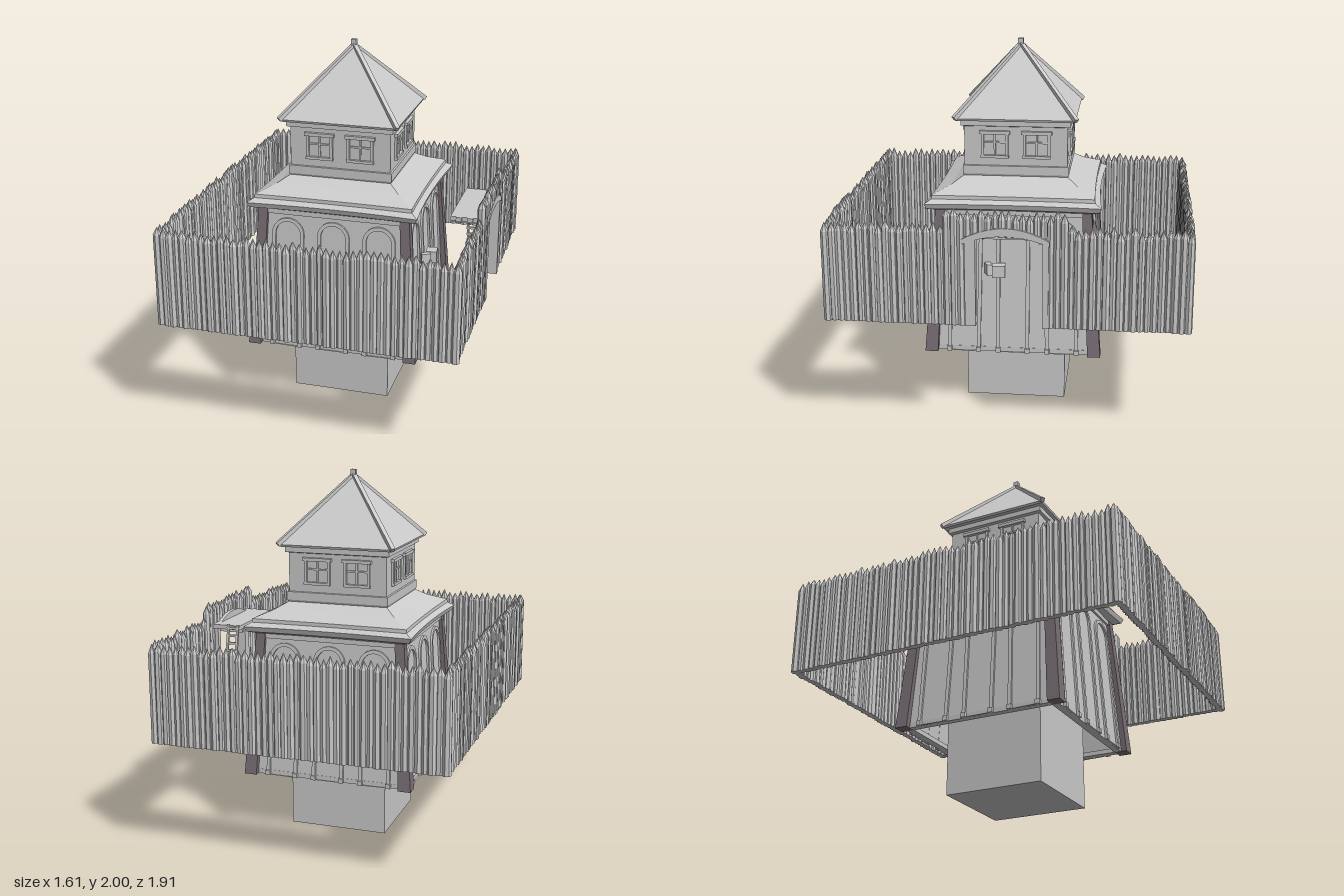
import * as THREE from 'three';

const grey = new THREE.MeshStandardMaterial({ color: 0xcccccc, flatShading: true });
const thin = new THREE.MeshStandardMaterial({ color: 0xcccccc, flatShading: true, side: THREE.DoubleSide });
const dark = new THREE.MeshStandardMaterial({ color: 0x7a7077, flatShading: true });

let seed = 7;
const rand = () => (seed = (seed * 16807) % 2147483647) / 2147483647;

function add(parent, name, geo, mat = grey, x = 0, y = 0, z = 0) {
  const m = new THREE.Mesh(geo, mat);
  m.name = name;
  m.position.set(x, y, z);
  parent.add(m);
  return m;
}
const box = (parent, name, w, h, d, x, y, z) =>
  add(parent, name, new THREE.BoxGeometry(w, h, d), grey, x, y, z);

function group(parent, name) {
  const g = new THREE.Group();
  g.name = name;
  parent.add(g);
  return g;
}

// Square-section beam between two points
function beam(parent, name, a, b, w, h) {
  const p = new THREE.Vector3(...a), q = new THREE.Vector3(...b);
  const m = box(parent, name, w, h, p.distanceTo(q), 0, 0, 0);
  m.position.copy(p).lerp(q, 0.5);
  m.lookAt(q);
}

// Stack of square rings [half, y, sag]; sag pulls the middle of each side inwards
function squareLoft(rings, seg = 1) {
  const pos = [], idx = [], n = 4 * seg;
  for (const [r, y, sag = 0] of rings) {
    for (let i = 0; i < n; i++) {
      const t = ((i % seg) / seg) * 2 - 1;
      const a = Math.floor(i / seg) * Math.PI / 2;
      const u = t * r, v = r - sag * (1 - t * t);
      pos.push(u * Math.cos(a) + v * Math.sin(a), y, v * Math.cos(a) - u * Math.sin(a));
    }
  }
  for (let j = 0; j < rings.length - 1; j++) {
    for (let i = 0; i < n; i++) {
      const a = j * n + i, b = j * n + (i + 1) % n;
      idx.push(a, b, b + n, a, b + n, a + n);
    }
  }
  const g = new THREE.BufferGeometry();
  g.setAttribute('position', new THREE.Float32BufferAttribute(pos, 3));
  g.setIndex(idx);
  const flat = g.toNonIndexed();
  flat.computeVertexNormals();
  return flat;
}

// Four copies of one side, turned round the tower
function fourSides(parent, name, build) {
  for (let k = 0; k < 4; k++) {
    const g = group(parent, name);
    g.rotation.y = k * Math.PI / 2;
    build(g);
  }
}

// Tall blind arch frame
function archFrame(w, h, t, depth) {
  const outline = (s, r, top) => {
    s.moveTo(-r, 0);
    s.lineTo(r, 0);
    s.lineTo(r, top);
    s.absarc(0, top, r, 0, Math.PI, false);
    s.lineTo(-r, 0);
    return s;
  };
  const s = outline(new THREE.Shape(), w / 2, h - w / 2);
  s.holes.push(outline(new THREE.Path(), w / 2 - t, h - w / 2));
  return new THREE.ExtrudeGeometry(s, { depth, bevelEnabled: false, curveSegments: 8 });
}

// Pointed palisade stake
function stake(parent, x, z, bottom, top) {
  const r = 0.019 + rand() * 0.005, tip = 0.035 + rand() * 0.015;
  const h = top - rand() * 0.025 - bottom;
  const profile = [[0, 0], [r, 0], [r * 0.95, h - tip], [0.001, h]].map(p => new THREE.Vector2(...p));
  const m = add(parent, 'stake', new THREE.LatheGeometry(profile, 7), thin, x, bottom, z);
  m.rotation.y = rand() * 6;
}

function buildFence(root) {
  const fence = group(root, 'palisade');
  const X = 0.783, Z = 0.93, nx = 45, nz = 53;
  const wobble = () => (rand() - 0.5) * 0.008;
  for (let i = 0; i < nx; i++) {
    const x = -X + (2 * X * i) / nx;
    stake(fence, x, Z + wobble(), 0.63, 1.18);
    stake(fence, -x, -Z + wobble(), 0.63, 1.18);
  }
  for (let i = 0; i < nz; i++) {
    const z = -Z + (2 * Z * i) / nz;
    stake(fence, -X + wobble(), z, 0.63, 1.18);
    // Stakes rise around the gate and stop above its arch
    const d = Math.abs(z);
    const bottom = d < 0.21 ? 1.11 : 0.63;
    stake(fence, X - 0.005 + wobble(), -z, bottom, d < 0.31 ? 1.255 : 1.18);
  }
}

function buildGate(root) {
  const gate = group(root, 'gate');
  box(gate, 'gatePost', 0.06, 0.47, 0.055, 0.772, 0.865, 0.18);
  box(gate, 'gatePost', 0.06, 0.47, 0.03, 0.772, 0.865, -0.205);
  // Shallow curved lintel
  const s = new THREE.Shape();
  s.moveTo(-0.225, 1.07);
  s.quadraticCurveTo(0, 1.165, 0.225, 1.07);
  s.lineTo(0.225, 1.095);
  s.quadraticCurveTo(0, 1.225, -0.225, 1.095);
  const g = new THREE.ExtrudeGeometry(s, { depth: 0.062, bevelEnabled: false, curveSegments: 10 });
  add(gate, 'gateArch', g, grey, 0.742).rotation.y = Math.PI / 2;

  // Plank walkway behind the arch, its front ends uneven
  const walk = group(root, 'walkway');
  for (let i = 0; i < 6; i++) {
    const len = 0.465 + (i % 2) * 0.01;
    box(walk, 'walkwayPlank', 0.031, 0.024, len, 0.6155 + i * 0.031, 1.11, len / 2 - 0.24);
  }
  for (const z of [-0.18, 0.17]) box(walk, 'walkwayBearer', 0.17, 0.025, 0.025, 0.69, 1.086, z);

  // Leaning ladder
  const ladder = group(root, 'ladder');
  for (const x of [0.608, 0.664]) beam(ladder, 'ladderRail', [x, 0.63, -0.335], [x, 1.13, -0.245], 0.012, 0.015);
  for (let i = 0; i < 12; i++) {
    const t = (i + 0.5) / 12;
    box(ladder, 'ladderRung', 0.072, 0.012, 0.014, 0.636, 0.63 + 0.5 * t, -0.335 + 0.09 * t);
  }
}

function buildLowerStorey(root) {
  const low = group(root, 'lowerStorey');
  add(low, 'lowerWalls', squareLoft([[0.447, 0.34], [0.4, 1.15]]), thin);
  const lean = Math.atan(0.047 / 0.81);
  fourSides(low, 'lowerSide', g => {
    for (const x of [-0.268, 0, 0.268]) {
      const arch = add(g, 'blindArch', archFrame(0.18, 0.75, 0.02, 0.012), grey, x, 0.34, 0.446);
      arch.rotation.x = -lean;
      // Outer arches follow the slant of the corners
      arch.rotation.z = Math.sign(x) * 0.02;
      for (const s of [-1, 1]) box(g, 'archFoot', 0.026, 0.025, 0.025, x + s * 0.08, 0.353, 0.452);
    }
    box(g, 'bottomRail', 0.84, 0.025, 0.04, 0, 0.353, 0.427);
    box(g, 'topRail', 0.8, 0.03, 0.025, 0, 1.125, 0.403);
  });
  // Leaning corner posts
  for (const sx of [-1, 1]) for (const sz of [-1, 1]) {
    const post = new THREE.BoxGeometry(1, 1, 1);
    const p = post.attributes.position;
    for (let i = 0; i < p.count; i++) {
      const up = p.getY(i) > 0;
      const c = up ? 0.393 : 0.445, w = up ? 0.052 : 0.07;
      p.setXYZ(i, sx * c + p.getX(i) * w, up ? 1.14 : 0.34, sz * c + p.getZ(i) * w);
    }
    post.computeVertexNormals();
    add(low, 'cornerPost', post, dark);
  }
  add(low, 'skirtRoof', squareLoft([[0.39, 1.125], [0.46, 1.15, 0.018], [0.472, 1.178, 0.02],
    [0.437, 1.198, 0.01], [0.435, 1.218, 0.008], [0.34, 1.258], [0.265, 1.305]], 6), thin);
  // Wall box and its bracket facing the gate
  box(low, 'wallBox', 0.06, 0.065, 0.07, 0.472, 0.82, 0.072).rotation.y = 0.1;
  box(low, 'wallBracket', 0.05, 0.06, 0.03, 0.45, 0.82, 0.13).rotation.y = 0.4;
}

function buildUpperStorey(root) {
  const up = group(root, 'upperStorey');
  add(up, 'upperWalls', squareLoft([[0.283, 1.295], [0.287, 1.305], [0.287, 1.35], [0.278, 1.352],
    [0.278, 1.565], [0.295, 1.57], [0.295, 1.6], [0.26, 1.605]]), thin);
  fourSides(up, 'upperSide', g => {
    for (const x of [-0.113, 0.113]) {
      const w = group(g, 'window');
      w.position.set(x, 1.468, 0.281);
      for (const s of [-1, 1]) box(w, 'windowJamb', 0.015, 0.13, 0.018, s * 0.066, 0, 0);
      box(w, 'windowLintel', 0.165, 0.018, 0.032, 0, 0.066, 0);
      box(w, 'windowSill', 0.15, 0.015, 0.028, 0, -0.066, 0);
      box(w, 'windowMullion', 0.01, 0.13, 0.01, 0, 0, 0);
      box(w, 'windowBar', 0.13, 0.009, 0.01, 0, 0.012, 0);
    }
  });
  // Pyramid roof with hip beams and finial
  add(up, 'towerRoof', squareLoft([[0.27, 1.598], [0.318, 1.6], [0.322, 1.612], [0.004, 1.97]]), thin);
  for (const sx of [-1, 1]) for (const sz of [-1, 1]) {
    beam(up, 'hipBeam', [sx * 0.325, 1.612, sz * 0.325], [0, 1.968, 0], 0.024, 0.024);
  }
  box(up, 'finial', 0.028, 0.05, 0.028, 0, 1.975, 0);
}

export function createModel() {
  const root = new THREE.Group();
  root.name = 'palisadeWatchtower';
  box(root, 'foundationBlock', 0.55, 0.6, 0.55, 0, 0.3, 0);
  buildLowerStorey(root);
  buildUpperStorey(root);
  buildFence(root);
  buildGate(root);
  return root;
}
